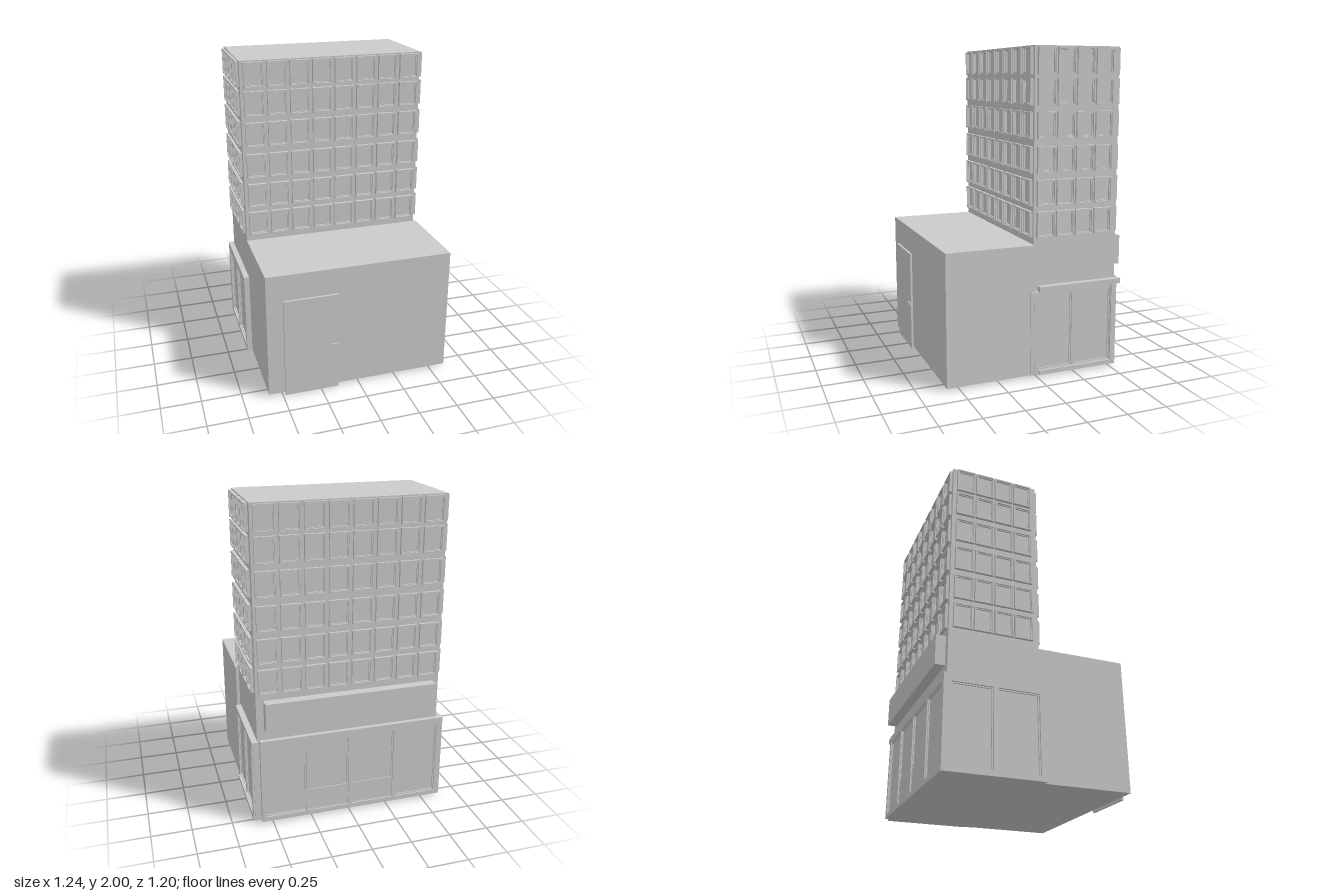
import * as THREE from 'three';

const mat = new THREE.MeshStandardMaterial({ color: 0xcccccc, flatShading: true });

// box given by its min and max corners
function box(parent, name, x0, x1, y0, y1, z0, z1) {
  const m = new THREE.Mesh(new THREE.BoxGeometry(x1 - x0, y1 - y0, z1 - z0), mat);
  m.name = name;
  m.position.set((x0 + x1) / 2, (y0 + y1) / 2, (z0 + z1) / 2);
  parent.add(m);
  return m;
}

function rect(target, [x0, x1, y0, y1]) {
  target.moveTo(x0, y0);
  target.lineTo(x1, y0);
  target.lineTo(x1, y1);
  target.lineTo(x0, y1);
  target.closePath();
  return target;
}

// flat frame with rectangular openings, standing out towards local +z
function frameGeometry(outer, openings, depth) {
  const shape = rect(new THREE.Shape(), outer);
  openings.forEach(o => shape.holes.push(rect(new THREE.Path(), o)));
  return new THREE.ExtrudeGeometry(shape, { depth, bevelEnabled: false });
}

// group whose local +z points out of a wall
function wall(parent, name, angle, x, z) {
  const g = new THREE.Group();
  g.name = name;
  g.rotation.y = angle;
  g.position.set(x, 0, z);
  parent.add(g);
  return g;
}

// grid of window frames, with a thin glazing bead inside each
const rows = [0.95, 1.14, 1.338, 1.54, 1.735, 1.913];
function windows(parent, columns, width, depth) {
  const w = width / 2, h = 0.079, t = 0.009, s = 0.014;
  const outer = frameGeometry([-w, w, -h, h], [[-w + t, w - t, -h + t, h - t]], depth);
  const bead = frameGeometry([-w + t, w - t, -h + t, h - t], [[-w + s, w - s, -h + s, h - s]], depth * 0.5);
  for (const y of rows) for (const x of columns) {
    for (const [name, geo] of [['windowFrame', outer], ['windowBead', bead]]) {
      const m = new THREE.Mesh(geo, mat);
      m.name = name;
      m.position.set(x, y, 0);
      parent.add(m);
    }
  }
}

// shop front: framed bays with recessed glass
function shopFront(parent, outer, bays, depth) {
  const m = new THREE.Mesh(frameGeometry(outer, bays, depth), mat);
  m.name = 'shopFrame';
  parent.add(m);
  for (const [x0, x1, y0, y1] of bays) {
    box(parent, 'shopGlass', x0, x1, y0, y1, 0, depth * 0.45);
    // slim inner trim around each pane
    const trim = new THREE.Mesh(frameGeometry([x0, x1, y0, y1],
      [[x0 + 0.008, x1 - 0.008, y0 + 0.008, y1 - 0.008]], depth * 0.7), mat);
    trim.name = 'paneTrim';
    parent.add(trim);
  }
}

export function createModel() {
  const model = new THREE.Group();
  model.name = 'building';

  // main masses
  box(model, 'tower', -0.587, 0.583, 0.015, 2, -0.54, 0.02);
  box(model, 'frontBlock', -0.587, 0.603, 0.015, 0.83, 0.02, 0.578);

  // tower windows
  const eight = Array.from({ length: 8 }, (_, i) => (i - 3.5) * 0.144);
  const four = start => Array.from({ length: 4 }, (_, i) => start + i * 0.127);
  const front = wall(model, 'frontWindows', 0, 0, 0.02);
  windows(front, eight, 0.124, 0.02);
  const back = wall(model, 'backWindows', Math.PI, 0, -0.54);
  windows(back, eight, 0.124, 0.016);
  const plusX = wall(model, 'leftWindows', Math.PI / 2, 0.583, 0);
  windows(plusX, four(0.057), 0.119, 0.021);
  const minusX = wall(model, 'rightWindows', -Math.PI / 2, -0.587, 0);
  windows(minusX, four(-0.456), 0.119, 0.018);

  // rear shop front with two doors in the middle bays
  const rear = wall(model, 'rearShopFront', Math.PI, 0, -0.54);
  const low = 0.045, high = 0.525;
  const rearBays = [
    [-0.545, -0.285, low, high], [-0.275, -0.01, low, high],
    [0.015, 0.29, low, high], [0.315, 0.585, low, high],
  ];
  shopFront(rear, [-0.57, 0.622, 0.015, 0.573], rearBays, 0.028);
  for (const [x0, x1] of rearBays.slice(1, 3)) {
    box(rear, 'doorKickPanel', x0 + 0.008, x1 - 0.008, low, 0.19, 0, 0.018);
  }

  // sign board above the rear shop front
  box(model, 'signBoard', -0.545, 0.537, 0.645, 0.83, -0.6, -0.54);

  // side shop front on +x
  const sideA = wall(model, 'leftShopFront', Math.PI / 2, 0.583, 0);
  shopFront(sideA, [-0.02, 0.54, 0.015, 0.54],
    [[0.01, 0.23, low, 0.52], [0.25, 0.5, low, 0.52]], 0.027);
  box(sideA, 'topRail', 0.01, 0.565, 0.54, 0.573, 0, 0.037);
  box(sideA, 'bottomRail', 0.01, 0.535, 0.015, 0.042, 0, 0.037);
  box(sideA, 'cornerPost', 0.503, 0.535, 0.015, 0.54, 0, 0.037);
  box(sideA, 'edgePost', -0.045, -0.02, 0.015, 0.54, 0, 0.026);

  // side shop front on -x
  const sideB = wall(model, 'rightShopFront', -Math.PI / 2, -0.587, 0);
  shopFront(sideB, [-0.568, 0.04, 0.015, 0.573],
    [[-0.52, -0.275, low, high], [-0.25, 0.005, low, high]], 0.035);

  // service door and handle on the front
  box(model, 'frontDoor', -0.483, -0.138, 0, 0.66, 0.578, 0.592);
  box(model, 'doorHandle', -0.19, -0.142, 0.305, 0.32, 0.592, 0.6);

  return model;
}
